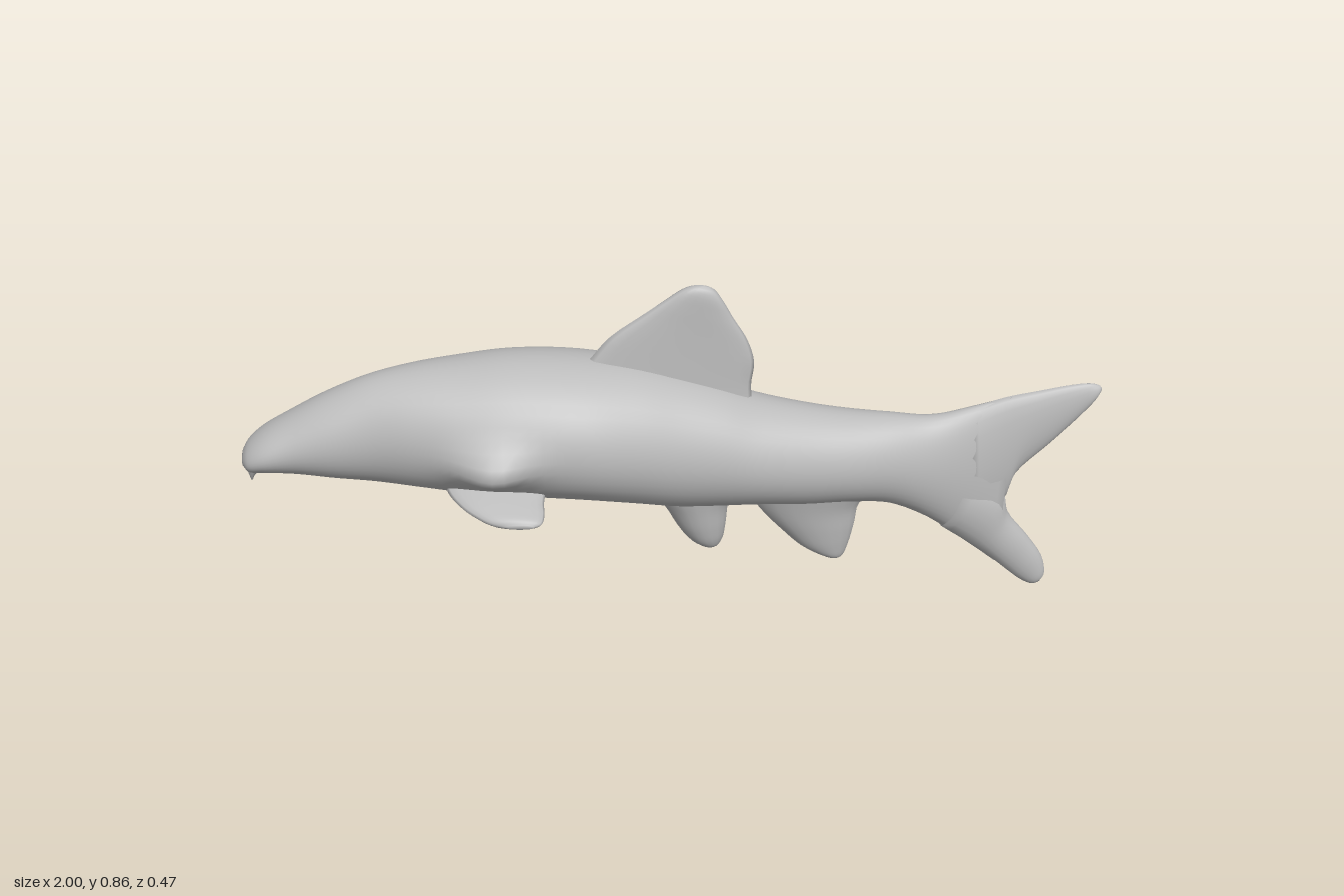
import * as THREE from 'three';

const skin = new THREE.MeshStandardMaterial({ color: 0xbdbdbd });
skin.name = 'plain grey';

// Smooth loft through sections [ax, ay, bx, by, halfThickness]: each ring spans a to b and bulges in z.
function loft(sections, { steps = 24, sides = 20, power = 1, shapeZ = null } = {}) {
  const curveA = new THREE.CatmullRomCurve3(sections.map(s => new THREE.Vector3(s[0], s[1], s[4])));
  const curveB = new THREE.CatmullRomCurve3(sections.map(s => new THREE.Vector3(s[2], s[3], s[4])));
  const pos = [], index = [];
  for (let i = 0; i <= steps; i++) {
    const a = curveA.getPoint(i / steps), b = curveB.getPoint(i / steps);
    for (let j = 0; j < sides; j++) {
      const phi = (j / sides) * Math.PI * 2;
      const c = Math.cos(phi) / 2, s = Math.sin(phi);
      const x = (a.x + b.x) / 2 + c * (a.x - b.x);
      const y = (a.y + b.y) / 2 + c * (a.y - b.y);
      let z = Math.sign(s) * Math.abs(s) ** power * (a.z + b.z) / 2;
      if (shapeZ) z = shapeZ(x, y, z);
      pos.push(x, y, z);
      if (i < steps) {
        const p = i * sides + j, q = i * sides + (j + 1) % sides;
        index.push(p, q, p + sides, q, q + sides, p + sides);
      }
    }
  }
  // End caps
  const first = sections[0], last = sections[sections.length - 1], n = (steps + 1) * sides;
  for (const s of [first, last]) pos.push((s[0] + s[2]) / 2, (s[1] + s[3]) / 2, 0);
  for (let j = 0; j < sides; j++) {
    const k = (j + 1) % sides, end = steps * sides;
    index.push(n, k, j, n + 1, end + j, end + k);
  }
  const geo = new THREE.BufferGeometry();
  geo.setAttribute('position', new THREE.Float32BufferAttribute(pos, 3));
  geo.setIndex(index);
  geo.computeVertexNormals();
  return geo;
}

export function createModel() {
  const fish = new THREE.Group();
  fish.name = 'fish';
  const add = (name, geo) => {
    const mesh = new THREE.Mesh(geo, skin);
    mesh.name = name;
    fish.add(mesh);
    return mesh;
  };

  // Body: x, top, bottom, half width from snout to tail root
  const body = [
    [-1.0, 0.485, 0.45, 0.03], [-0.985, 0.508, 0.438, 0.055], [-0.95, 0.537, 0.438, 0.073],
    [-0.88, 0.578, 0.43, 0.083], [-0.8, 0.62, 0.415, 0.094], [-0.7, 0.66, 0.4, 0.105],
    [-0.6, 0.68, 0.385, 0.132], [-0.5, 0.69, 0.371, 0.158], [-0.38, 0.698, 0.36, 0.178],
    [-0.23, 0.688, 0.345, 0.187], [-0.1, 0.665, 0.32, 0.167], [0, 0.635, 0.302, 0.15],
    [0.1, 0.6, 0.297, 0.138], [0.18, 0.567, 0.295, 0.129], [0.3, 0.535, 0.286, 0.113],
    [0.4, 0.516, 0.284, 0.1], [0.5, 0.505, 0.272, 0.083], [0.6, 0.497, 0.222, 0.063],
    [0.7, 0.518, 0.145, 0.046], [0.785, 0.541, 0.075, 0.03],
  ].map(([x, top, bottom, w]) => [x, top, x, bottom, w]);
  // Pointed swelling on the left flank
  const swell = (x, y, z) => z <= 0 ? z :
    z + 0.06 * Math.exp(-(((x + 0.43) / 0.08) ** 2) - ((y - 0.505) / 0.05) ** 2);
  add('body', loft(body, { steps: 90, sides: 40, shapeZ: swell }));

  // Barbel under the snout
  add('barbel', loft([
    [-0.95, 0.455, -0.998, 0.465, 0.03], [-0.965, 0.435, -0.996, 0.435, 0.018],
    [-0.98, 0.418, -0.992, 0.415, 0.009], [-0.986, 0.406, -0.99, 0.405, 0.003],
  ], { steps: 8, sides: 12 }));

  // Forked tail
  add('upperTailLobe', loft([
    [0.68, 0.51, 0.7, 0.18, 0.047], [0.77, 0.538, 0.788, 0.25, 0.034],
    [0.85, 0.552, 0.81, 0.325, 0.027], [0.92, 0.563, 0.885, 0.405, 0.021],
    [0.97, 0.566, 0.95, 0.475, 0.016], [0.993, 0.56, 0.985, 0.52, 0.012],
    [1.0, 0.553, 0.998, 0.542, 0.004],
  ]));
  add('lowerTailLobe', loft([
    [0.7, 0.35, 0.64, 0.19, 0.05], [0.787, 0.285, 0.71, 0.138, 0.042],
    [0.805, 0.22, 0.765, 0.095, 0.035], [0.86, 0.148, 0.815, 0.05, 0.028],
    [0.903, 0.083, 0.85, 0.02, 0.023], [0.915, 0.035, 0.878, 0.004, 0.017],
    [0.908, 0.012, 0.893, 0.002, 0.006],
  ]));

  // Dorsal fin: even thickness, rounded tip
  add('dorsalFin', loft([
    [-0.25, 0.62, 0.175, 0.54, 0.024], [-0.2, 0.684, 0.169, 0.6, 0.021],
    [-0.155, 0.737, 0.175, 0.66, 0.019], [-0.08, 0.79, 0.158, 0.718, 0.018],
    [-0.03, 0.824, 0.125, 0.775, 0.018], [0.01, 0.849, 0.102, 0.818, 0.017],
    [0.035, 0.857, 0.085, 0.843, 0.012], [0.055, 0.858, 0.07, 0.854, 0.003],
  ], { power: 0.6 }));

  // Fins under the belly
  add('pelvicFin', loft([
    [0.145, 0.34, -0.08, 0.34, 0.075], [0.122, 0.29, -0.038, 0.295, 0.066],
    [0.116, 0.235, -0.005, 0.235, 0.055], [0.11, 0.195, 0.025, 0.192, 0.042],
    [0.1, 0.172, 0.055, 0.17, 0.026], [0.085, 0.165, 0.07, 0.165, 0.008],
  ]));
  add('analFin', loft([
    [0.47, 0.32, 0.15, 0.34, 0.07], [0.437, 0.265, 0.19, 0.272, 0.056],
    [0.428, 0.205, 0.247, 0.205, 0.045], [0.417, 0.155, 0.3, 0.152, 0.034],
    [0.405, 0.12, 0.35, 0.122, 0.022], [0.392, 0.108, 0.375, 0.11, 0.006],
  ]));

  // Pair of pectoral fins, drawn hanging and swung outward
  const pectoral = [
    [-0.3, 0.05, -0.54, 0.05, 0.026], [-0.31, 0, -0.535, 0, 0.024],
    [-0.318, -0.05, -0.505, -0.05, 0.021], [-0.318, -0.085, -0.475, -0.08, 0.018],
    [-0.325, -0.113, -0.44, -0.106, 0.014], [-0.345, -0.123, -0.4, -0.12, 0.005],
  ];
  for (const side of [1, -1]) {
    const fin = add(side > 0 ? 'leftPectoralFin' : 'rightPectoralFin', loft(pectoral));
    fin.rotation.x = -side * 1.32;
    fin.position.set(0, 0.418, side * 0.115);
  }
  return fish;
}
